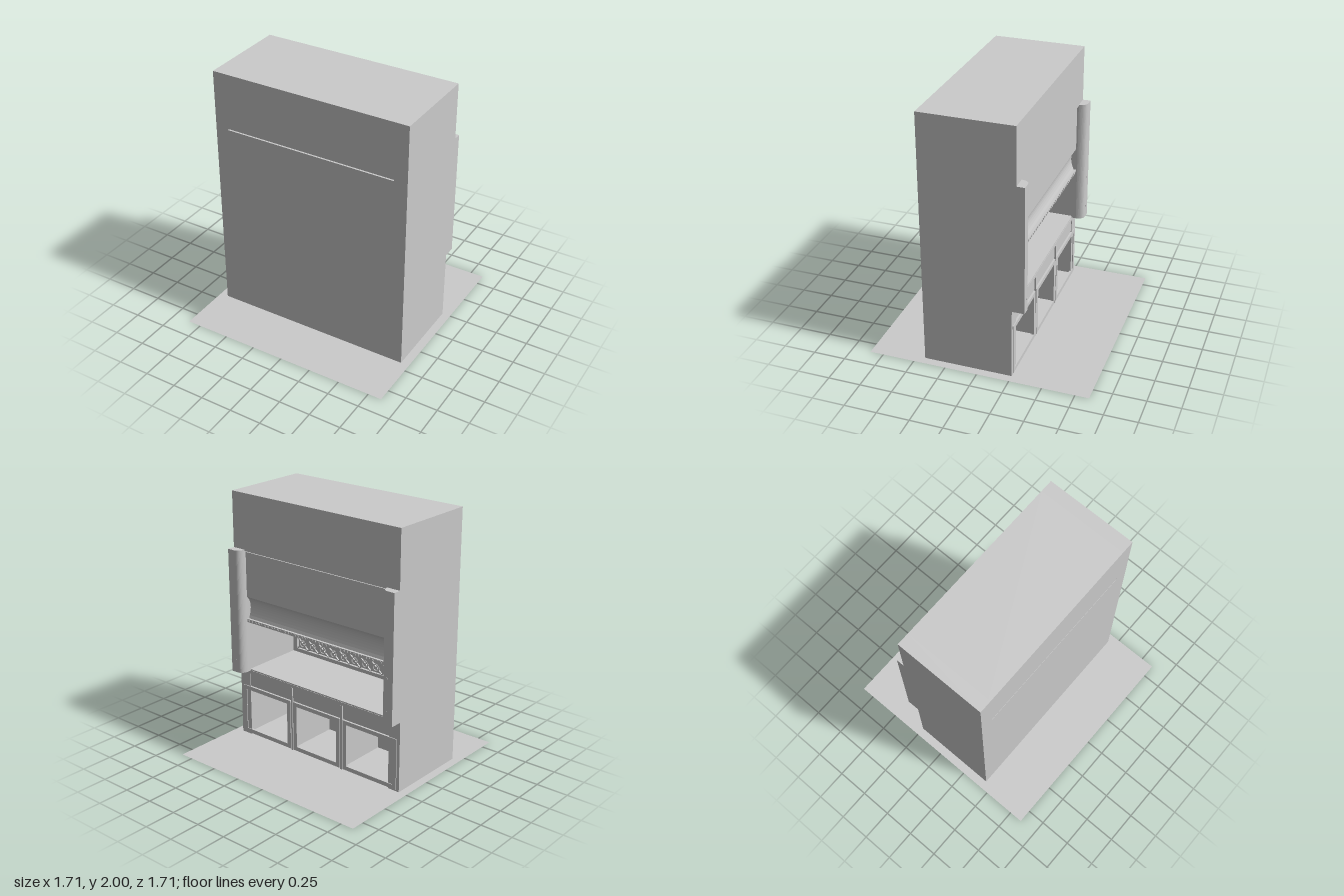
import * as THREE from 'three';

const material = new THREE.MeshStandardMaterial({ color: 0xcccccc, side: THREE.DoubleSide });

export function createModel() {
  const model = new THREE.Group();
  model.name = 'fumeCupboard';

  const add = (name, geometry, parent = model) => {
    const mesh = new THREE.Mesh(geometry, material);
    mesh.name = name;
    parent.add(mesh);
    return mesh;
  };
  // Box given by its limits on each axis
  const box = (name, x0, x1, y0, y1, z0, z1, parent) => {
    const mesh = add(name, new THREE.BoxGeometry(x1 - x0, y1 - y0, z1 - z0), parent);
    mesh.position.set((x0 + x1) / 2, (y0 + y1) / 2, (z0 + z1) / 2);
    return mesh;
  };
  const rectangle = (Type, x0, x1, y0, y1) => new Type([
    [x0, y0], [x1, y0], [x1, y1], [x0, y1],
  ].map(([x, y]) => new THREE.Vector2(x, y)));
  const extrude = (shape, depth) =>
    new THREE.ExtrudeGeometry(shape, { depth, bevelEnabled: false, curveSegments: 10 });

  // Floor sheet
  const floor = add('floorSheet', new THREE.PlaneGeometry(1.71, 1.71));
  floor.rotation.x = -Math.PI / 2;

  // Side walls, stepped back below the work surface
  const sideProfile = new THREE.Shape([
    [-0.435, 0], [0.25, 0], [0.25, 0.56], [0.285, 0.56], [0.285, 2], [-0.435, 2],
  ].map(([z, y]) => new THREE.Vector2(z, y)));
  for (const x of [0.69, -0.79]) {
    const wall = add('sideWall', extrude(sideProfile, 0.1));
    wall.rotation.y = Math.PI / 2;
    wall.position.x = x;
  }

  // Back wall with a long round-ended slot
  const backShape = rectangle(THREE.Shape, -0.69, 0.69, 0, 2);
  const slot = new THREE.Path();
  slot.absarc(0.68, 1.555, 0.005, -Math.PI / 2, Math.PI / 2);
  slot.absarc(-0.68, 1.555, 0.005, Math.PI / 2, Math.PI * 1.5);
  slot.closePath();
  backShape.holes.push(slot);
  add('backWall', extrude(backShape, 0.02)).position.z = 0.415;
  box('slotBacking', -0.69, 0.69, 1.53, 1.58, 0.39, 0.4);

  // Roof, header and chamber ceiling
  box('roof', -0.69, 0.69, 1.97, 2, -0.285, 0.415);
  box('header', -0.69, 0.69, 1.55, 2, -0.285, -0.25);
  box('chamberCeiling', -0.69, 0.69, 1.5, 1.53, -0.24, 0.3);

  // Front pillars with a rounded inner corner
  for (const side of [1, -1]) {
    const plan = new THREE.Shape();
    plan.moveTo(side * 0.79, 0.25);
    plan.lineTo(side * 0.79, 0.347);
    plan.lineTo(side * 0.735, 0.347);
    plan.quadraticCurveTo(side * 0.685, 0.347, side * 0.68, 0.285);
    plan.lineTo(side * 0.68, 0.25);
    const pillar = add('pillar', extrude(plan, 1));
    pillar.rotation.x = -Math.PI / 2;
    pillar.position.y = 0.56;
    for (const y of side > 0 ? [0.66] : [0.66, 0.92]) {
      box('pillarButton', side * 0.74 - 0.006, side * 0.74 + 0.006, y - 0.006, y + 0.006, -0.349, -0.34);
    }
  }

  // Sash: flat pane above, concave lower edge and a grip rail
  const sash = new THREE.Group();
  sash.name = 'sash';
  model.add(sash);
  box('sashPane', -0.68, 0.68, 1.18, 1.54, -0.272, -0.255, sash);
  const lip = new THREE.Shape();
  lip.moveTo(0.272, 1.18);
  lip.quadraticCurveTo(0.205, 1.12, 0.255, 1.0);
  lip.lineTo(0.245, 1.0);
  lip.quadraticCurveTo(0.19, 1.12, 0.255, 1.19);
  const lipMesh = add('sashLip', extrude(lip, 1.36), sash);
  lipMesh.rotation.y = Math.PI / 2;
  lipMesh.position.x = -0.68;
  box('gripRail', -0.68, 0.68, 0.975, 1.0, -0.275, -0.24, sash);
  for (let i = 0; i < 40; i++) {
    const x = -0.66 + i * (1.32 / 39);
    box('gripStud', x - 0.007, x + 0.007, 0.981, 0.994, -0.279, -0.274, sash);
  }

  // Rear baffle with a lower and an upper ventilation row
  const rows = [[0.6, 0.69], [1.27, 1.36]];
  const baffle = rectangle(THREE.Shape, -0.69, 0.69, 0.56, 1.5);
  rows.forEach(([y0, y1]) => baffle.holes.push(rectangle(THREE.Path, -0.65, 0.65, y0, y1)));
  add('rearBaffle', extrude(baffle, 0.02)).position.z = 0.26;
  box('baffleBacking', -0.69, 0.69, 0.56, 1.5, 0.31, 0.32);
  const cells = 12;
  const cellWidth = 1.3 / cells;
  for (const [y0, y1] of rows) {
    const grille = new THREE.Group();
    grille.name = 'ventGrille';
    model.add(grille);
    const height = y1 - y0;
    for (let i = 0; i < cells; i++) {
      const x = -0.65 + (i + 0.5) * cellWidth;
      for (const sign of [1, -1]) {
        const bar = add('crossBar', new THREE.BoxGeometry(Math.hypot(cellWidth, height), 0.009, 0.012), grille);
        bar.position.set(x, (y0 + y1) / 2, 0.272);
        bar.rotation.z = sign * Math.atan2(height, cellWidth);
      }
      const ring = add('ventRing', new THREE.TorusGeometry(0.027, 0.005, 5, 14), grille);
      ring.position.set(x, (y0 + y1) / 2, 0.268);
    }
  }

  // Work surface and the recessed fascia below it
  box('workSurface', -0.69, 0.69, 0.535, 0.57, -0.25, 0.27);
  box('fascia', -0.77, 0.77, 0.43, 0.535, -0.245, -0.225);
  box('worktopEdge', -0.79, 0.79, 0.535, 0.56, -0.253, -0.24);

  // Base cabinet: floor, back, dividers and three framed open bays
  box('cabinetFloor', -0.69, 0.69, 0.005, 0.03, -0.24, 0.19);
  box('cabinetBack', -0.69, 0.69, 0.005, 0.535, 0.17, 0.19);
  box('cabinetTop', -0.69, 0.69, 0.41, 0.43, -0.24, 0.17);
  for (const x of [0.248, -0.248]) {
    box('divider', x - 0.02, x + 0.02, 0.005, 0.535, -0.24, 0.17);
    box('dividerPost', x - 0.008, x + 0.008, 0.005, 0.535, -0.256, -0.24);
  }
  for (const [x0, x1] of [[-0.765, -0.262], [-0.234, 0.234], [0.262, 0.765]]) {
    const frame = rectangle(THREE.Shape, x0, x1, 0.012, 0.42);
    frame.holes.push(rectangle(THREE.Path, x0 + 0.035, x1 - 0.035, 0.045, 0.388));
    add('bayFrame', extrude(frame, 0.018)).position.z = -0.256;
  }
  return model;
}
